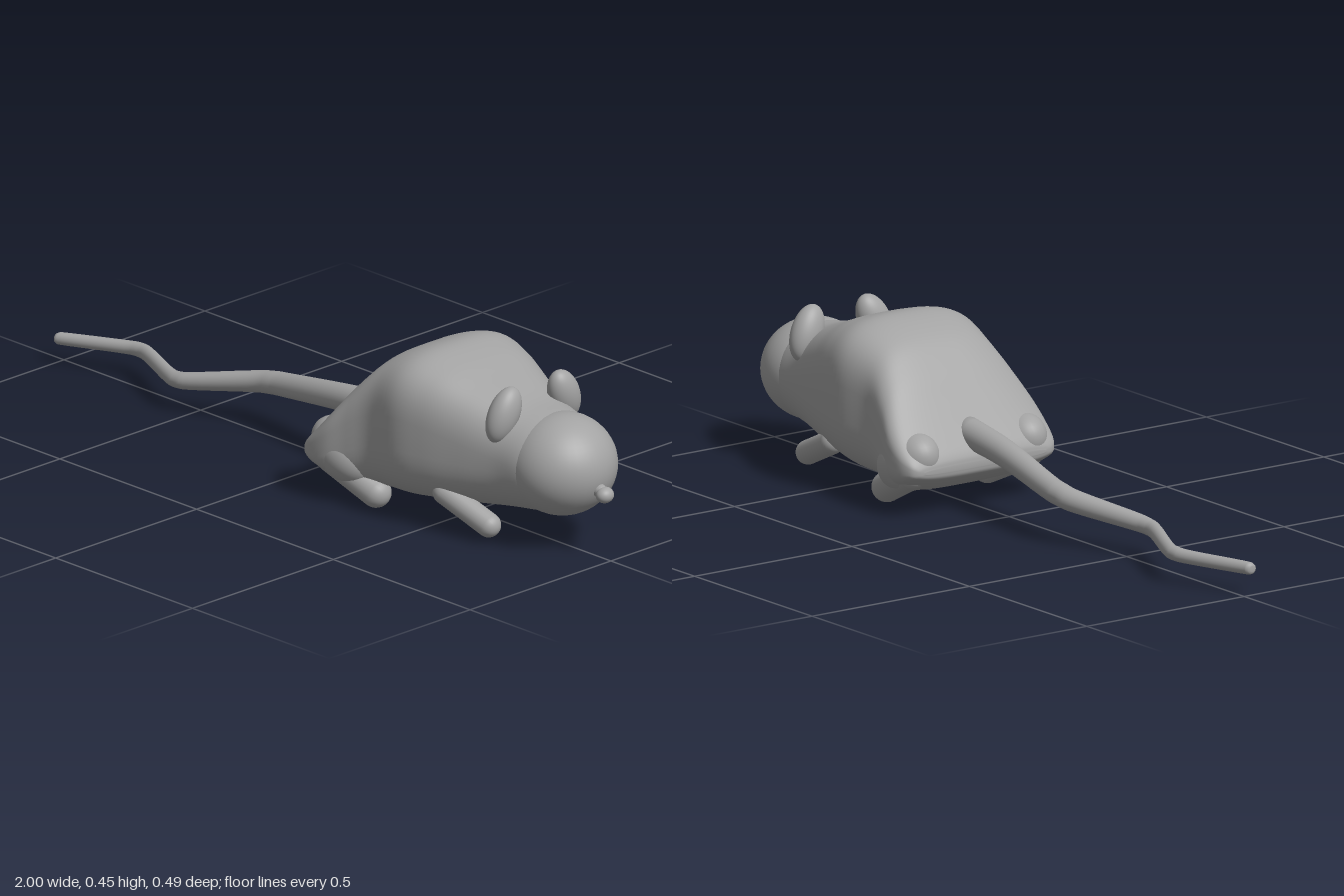
import * as THREE from 'three';

const fur = new THREE.MeshStandardMaterial({ color: 0xa3a3a3 });
fur.name = 'grey';

// Smooth skin through sections along x: [x, yLow, yHigh, zCentre, halfWidth, squareness]
function loft(sections, perSpan, sides) {
  const curve = (a, b, c) => new THREE.CatmullRomCurve3(
    sections.map((s) => new THREE.Vector3(s[a], s[b], s[c])), false, 'catmullrom', 0.5);
  const side = curve(0, 1, 2), width = curve(3, 4, 5);
  const rings = (sections.length - 1) * perSpan;
  const pos = [], index = [];
  const bend = (v, n) => Math.sign(v) * Math.abs(v) ** (2 / n);
  for (let i = 0; i <= rings; i++) {
    const p = side.getPoint(i / rings), w = width.getPoint(i / rings);
    for (let j = 0; j < sides; j++) {
      const a = (j / sides) * Math.PI * 2;
      pos.push(p.x, (p.y + p.z) / 2 + ((p.z - p.y) / 2) * bend(Math.cos(a), w.z),
        w.x + w.y * bend(Math.sin(a), w.z));
      if (i === rings) continue;
      const k = i * sides + j, l = i * sides + ((j + 1) % sides);
      index.push(k, l, k + sides, l, l + sides, k + sides);
    }
  }
  // Closed ends
  const count = (rings + 1) * sides;
  for (const [ring, at] of [[0, 0], [rings, 1]]) {
    const p = side.getPoint(at), w = width.getPoint(at);
    pos.push(p.x, (p.y + p.z) / 2, w.x);
    for (let j = 0; j < sides; j++) {
      const k = ring * sides + j, l = ring * sides + ((j + 1) % sides);
      if (at) index.push(count + 1, k, l);
      else index.push(count, l, k);
    }
  }
  const geo = new THREE.BufferGeometry();
  geo.setAttribute('position', new THREE.Float32BufferAttribute(pos, 3));
  geo.setIndex(index);
  geo.computeVertexNormals();
  return geo;
}

export function createModel() {
  const model = new THREE.Group();
  model.name = 'mouse';

  const add = (name, geo) => {
    const mesh = new THREE.Mesh(geo, fur);
    mesh.name = name;
    model.add(mesh);
    return mesh;
  };
  const ellipsoid = (name, centre, radii) => {
    const mesh = add(name, new THREE.SphereGeometry(1, 40, 28));
    mesh.position.set(...centre);
    mesh.scale.set(...radii);
    return mesh;
  };
  const limb = (name, from, to, radius) => {
    const a = new THREE.Vector3(...from), b = new THREE.Vector3(...to);
    const d = b.clone().sub(a);
    const mesh = add(name, new THREE.CapsuleGeometry(radius, d.length(), 10, 24));
    mesh.position.copy(a).add(b).multiplyScalar(0.5);
    mesh.quaternion.setFromUnitVectors(new THREE.Vector3(0, 1, 0), d.normalize());
    return mesh;
  };

  // Body: wedge-shaped rump, humped back, tapering to the neck
  add('body', loft([
    [0.1, 0.115, 0.128, 0, 0.19, 3.2],
    [0.104, 0.1, 0.146, 0, 0.213, 3.2],
    [0.118, 0.086, 0.17, 0, 0.231, 3.2],
    [0.15, 0.066, 0.208, 0, 0.242, 3.3],
    [0.2, 0.045, 0.272, 0, 0.241, 3.4],
    [0.26, 0.038, 0.348, 0, 0.223, 3.4],
    [0.33, 0.043, 0.412, 0, 0.21, 3.3],
    [0.43, 0.05, 0.447, 0, 0.224, 3.2],
    [0.52, 0.06, 0.432, 0, 0.208, 3.1],
    [0.62, 0.07, 0.396, 0, 0.178, 2.8],
    [0.72, 0.081, 0.362, 0, 0.149, 2.4],
    [0.8, 0.088, 0.348, 0, 0.138, 2.05],
    [0.85, 0.1, 0.335, 0, 0.12, 2],
  ], 6, 72));

  // Head and nose
  ellipsoid('head', [0.823, 0.219, 0], [0.142, 0.133, 0.142]);
  ellipsoid('noseBridge', [0.958, 0.181, 0], [0.025, 0.018, 0.018]);
  ellipsoid('nose', [0.978, 0.174, 0], [0.022, 0.021, 0.025]);

  // Paired parts
  for (const [side, s] of [['left', -1], ['right', 1]]) {
    const ear = ellipsoid(side + 'Ear', [0.718, 0.35, s * 0.107], [0.037, 0.076, 0.045]);
    ear.rotation.set(-0.42 * s, 0, -0.08);
    limb(side + 'FrontLeg', [0.55, 0.105, s * 0.152], [0.685, 0.046, s * 0.128], 0.032);
    const haunch = ellipsoid(side + 'Haunch', [0.2, 0.13, s * 0.17], [0.105, 0.075, 0.07]);
    haunch.rotation.z = -0.5;
    limb(side + 'HindFoot', [0.17, 0.105, s * 0.185], [0.306, 0.04, s * 0.16], 0.04);
  }

  // Tail: wavy and tapering, [x, y, z, radius]
  const tail = [
    [-1, 0.068, 0.027, 0.008], [-0.994, 0.068, 0.025, 0.015], [-0.97, 0.069, 0.017, 0.017],
    [-0.83, 0.073, -0.04, 0.018], [-0.78, 0.075, -0.052, 0.019], [-0.73, 0.076, -0.04, 0.02],
    [-0.59, 0.079, 0.026, 0.021], [-0.54, 0.082, 0.038, 0.022], [-0.49, 0.089, 0.026, 0.024],
    [-0.34, 0.114, -0.034, 0.029], [-0.28, 0.124, -0.044, 0.031], [-0.22, 0.133, -0.041, 0.032],
    [0, 0.17, -0.014, 0.036], [0.19, 0.192, -0.004, 0.04],
  ];
  add('tail', loft(tail.map(([x, y, z, r]) => [x, y - r, y + r, z, r, 2]), 4, 28));

  return model;
}
